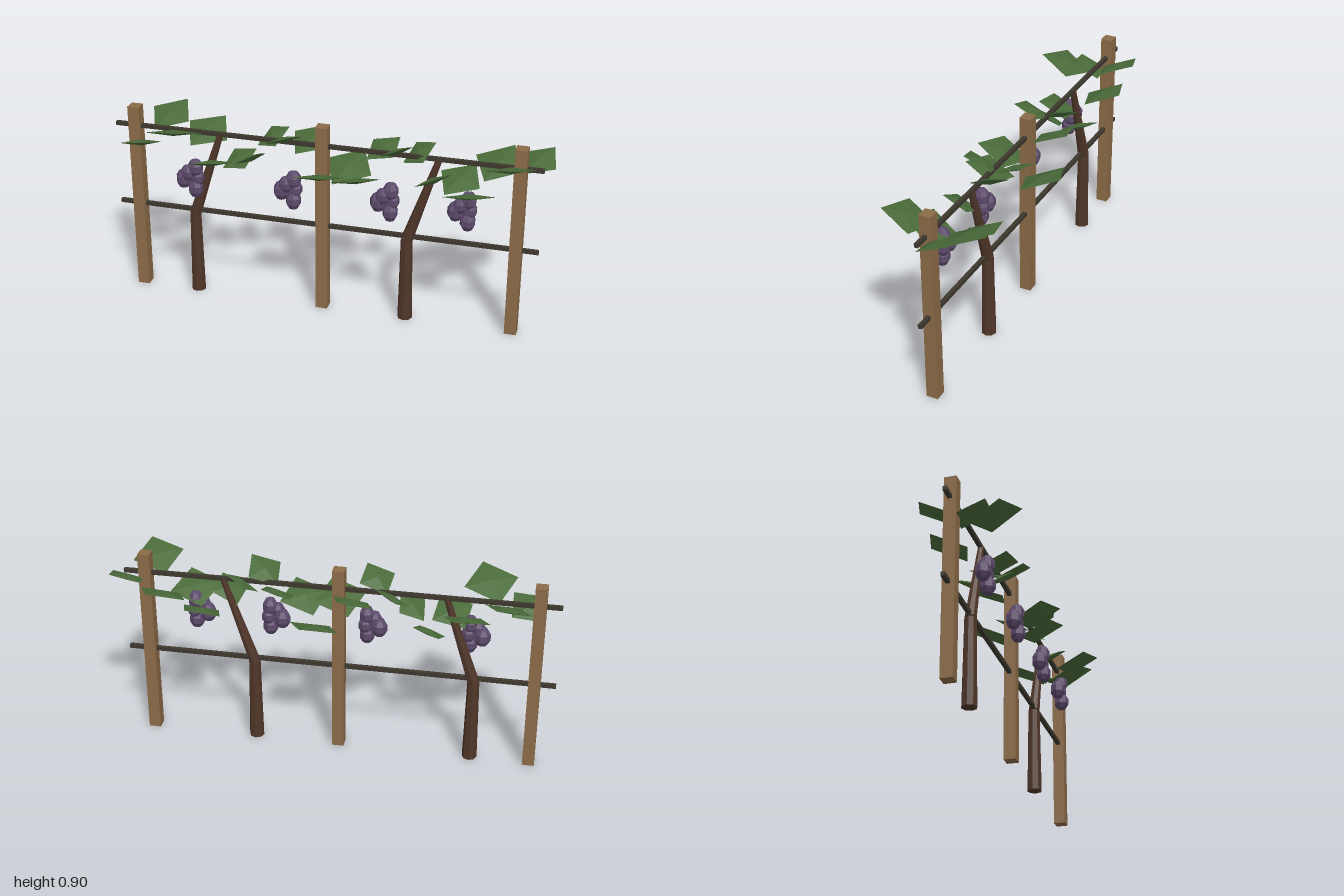
import * as THREE from 'three';

const mat = (name, color) => {
  const m = new THREE.MeshStandardMaterial({ color, flatShading: true });
  m.name = name;
  return m;
};

export function createModel() {
  const root = new THREE.Group();
  root.name = 'grapeTrellis';
  const wood = mat('postWood', 0x8b6b48);
  const wireMat = mat('darkWire', 0x3d382e);
  const bark = mat('vineBark', 0x503629);
  const leafMat = mat('leafGreen', 0x4a6b3a);
  const grapeMat = mat('grapePurple', 0x5c4a6b);

  const add = (parent, name, geo, material, x = 0, y = 0, z = 0) => {
    const mesh = new THREE.Mesh(geo, material);
    mesh.name = name;
    mesh.position.set(x, y, z);
    parent.add(mesh);
    return mesh;
  };

  // Posts
  const postGeo = new THREE.BoxGeometry(0.054, 0.905, 0.054);
  for (const x of [-0.905, -0.025, 0.855]) add(root, 'post', postGeo, wood, x, 0.4525, 0);

  // Horizontal wires
  const wireGeo = new THREE.BoxGeometry(1.955, 0.018, 0.018);
  for (const y of [0.418, 0.81]) add(root, 'wire', wireGeo, wireMat, -0.0225, y, 0);

  // Vine trunks: an upright stem and a leaning arm
  const limb = (parent, name, a, b, r0, r1) => {
    const dir = b.clone().sub(a);
    const mesh = add(parent, name, new THREE.CylinderGeometry(r1, r0, dir.length(), 8), bark);
    mesh.position.copy(a).add(b).multiplyScalar(0.5);
    mesh.quaternion.setFromUnitVectors(new THREE.Vector3(0, 1, 0), dir.normalize());
  };
  for (const x of [-0.635, 0.365]) {
    const vine = new THREE.Group();
    vine.name = 'vineTrunk';
    const knee = new THREE.Vector3(x, 0.4, 0);
    limb(vine, 'stem', new THREE.Vector3(x, 0, 0), knee, 0.034, 0.027);
    limb(vine, 'arm', knee, new THREE.Vector3(x + 0.135, 0.81, 0), 0.027, 0.014);
    root.add(vine);
  }

  // Grape bunches: offsets x, y, z and radius of each berry
  const berryGeo = new THREE.SphereGeometry(1, 7, 5);
  const berries = [
    [-0.03, 0.6, 0.06, 0.038], [-0.008, 0.635, 0.07, 0.032], [0.026, 0.658, 0.06, 0.036],
    [0.026, 0.558, 0.064, 0.036], [0.033, 0.61, 0.055, 0.033],
  ];
  for (const x of [-0.63, -0.168, 0.275, 0.62]) {
    const bunch = new THREE.Group();
    bunch.name = 'grapeBunch';
    bunch.position.x = x;
    for (const [bx, by, bz, r] of berries) {
      add(bunch, 'berry', berryGeo, grapeMat, bx, by, bz).scale.set(r, r * 1.25, r);
    }
    root.add(bunch);
  }

  // Leaves: flattened four-sided plates rising outward from the top wire
  const leafGeo = new THREE.OctahedronGeometry(1).rotateY(Math.PI / 4);
  const leafRow = (name, tilt, rows) => {
    for (const [x, y, z, size, yaw, roll] of rows) {
      const leaf = add(root, name, leafGeo, leafMat, x, y, z);
      const r = size * Math.SQRT1_2;
      leaf.scale.set(r, 0.014, r);
      leaf.rotation.set(tilt, -yaw, roll, 'XZY');
    }
  };
  // x, y, z, side length, yaw, roll
  leafRow('frontLeaf', -0.37, [
    [-0.855, 0.76, 0.075, 0.146, -0.02, 0.12],
    [-0.68, 0.845, 0.118, 0.175, 0.38, 0.08],
    [-0.52, 0.7, 0.08, 0.15, 0.12, 0.12],
    [-0.345, 0.73, 0.045, 0.12, -0.1, 0.48],
    [-0.185, 0.845, 0.06, 0.13, 0.12, 0.3],
    [-0.01, 0.708, 0.112, 0.175, 0.34, 0.08],
    [0.15, 0.705, 0.096, 0.165, 0.27, 0.15],
    [0.32, 0.845, 0.05, 0.135, -0.1, 0.4],
    [0.485, 0.73, 0.055, 0.13, 0.2, 0.42],
    [0.655, 0.698, 0.107, 0.17, 0.37, 0.08],
    [0.825, 0.845, 0.107, 0.165, 0.29, 0.1],
  ]);
  leafRow('backLeaf', 0.37, [
    [-0.775, 0.835, -0.107, 0.16, -0.36, 0.1],
    [-0.6, 0.77, -0.112, 0.168, -0.33, 0.02],
    [-0.435, 0.67, -0.065, 0.125, 0.15, 0.3],
    [-0.265, 0.81, -0.045, 0.12, 0.35, 0.45],
    [-0.1, 0.795, -0.09, 0.155, -0.27, 0.15],
    [0.065, 0.668, -0.117, 0.178, -0.4, 0.08],
    [0.235, 0.8, -0.07, 0.13, 0, 0.25],
    [0.405, 0.815, -0.035, 0.122, 0.35, 0.5],
    [0.58, 0.685, -0.085, 0.157, -0.28, 0.12],
    [0.745, 0.77, -0.117, 0.176, -0.39, 0.12],
    [0.92, 0.82, -0.08, 0.14, -0.17, 0.2],
  ]);

  return root;
}
